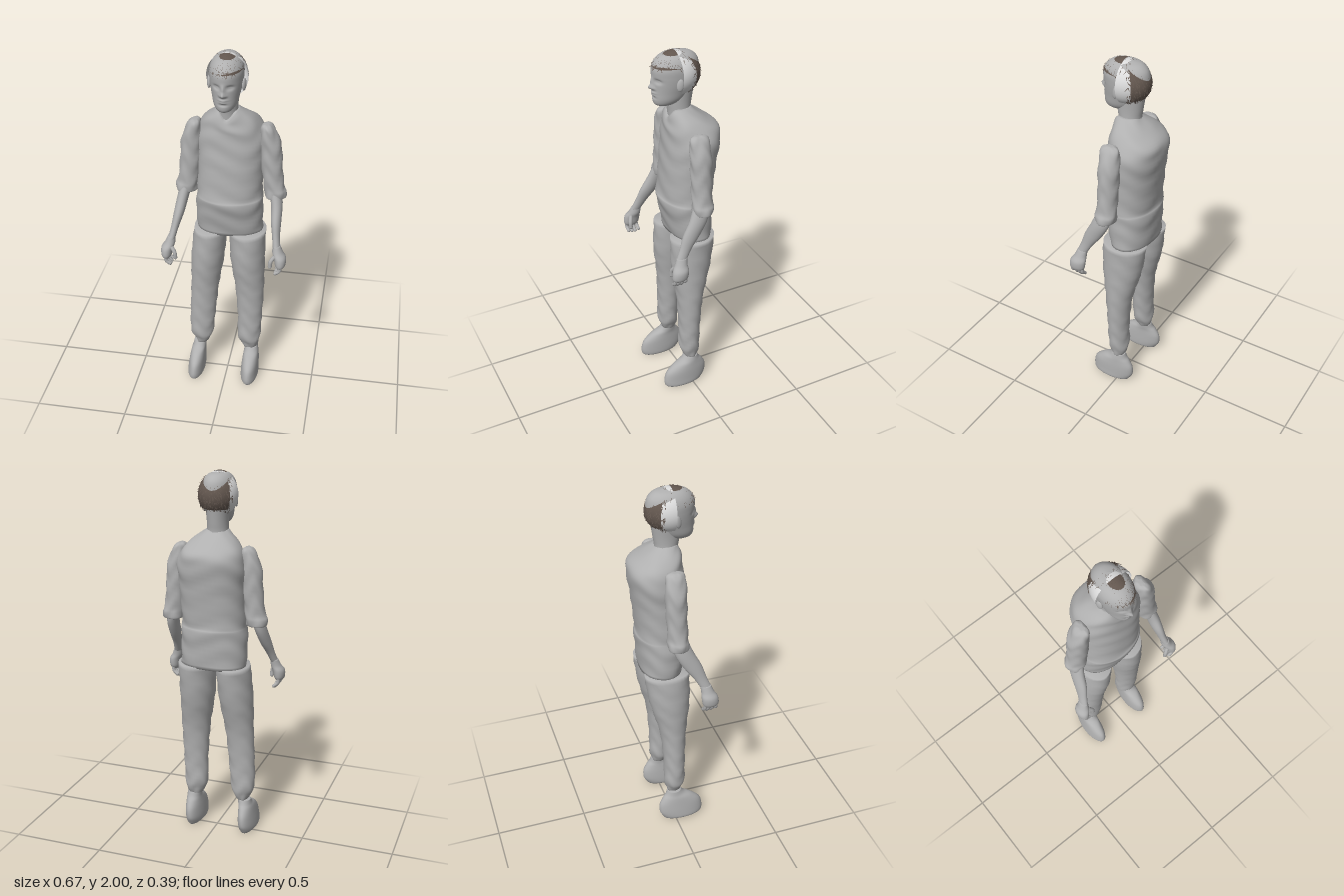
import * as THREE from 'three';

const mat = (name, color, side = THREE.FrontSide) => {
  const m = new THREE.MeshStandardMaterial({ color, side });
  m.name = name;
  return m;
};

// Catmull-Rom blend of table rows, t in 0..1
function sampleRows(rows, t) {
  const f = t * (rows.length - 1), i = Math.min(Math.floor(f), rows.length - 2), u = f - i;
  const at = k => rows[Math.max(0, Math.min(rows.length - 1, k))];
  return rows[i].map((b, k) => {
    const a = at(i - 1)[k], c = at(i + 1)[k], d = at(i + 2)[k];
    return b + 0.5 * u * (c - a + u * (2 * a - 5 * b + 4 * c - d + u * (3 * (b - c) + d - a)));
  });
}

// Body from horizontal sections, bottom to top: [y, xMin, xMax, zBack, zFront]
function loft(rows, { seg = 32, steps = 5, power = 1, shape = null } = {}) {
  const n = (rows.length - 1) * steps, pos = [], idx = [];
  const bend = v => Math.sign(v) * Math.abs(v) ** power;
  for (let j = 0; j <= n; j++) {
    const [y, x0, x1, z0, z1] = sampleRows(rows, j / n);
    for (let i = 0; i < seg; i++) {
      const a = i / seg * Math.PI * 2;
      const p = new THREE.Vector3(
        (x0 + x1) / 2 + bend(Math.sin(a)) * (x1 - x0) / 2, y,
        (z0 + z1) / 2 + bend(Math.cos(a)) * (z1 - z0) / 2);
      if (shape) shape(p, a);
      pos.push(p.x, p.y, p.z);
      if (j < n) {
        const k = j * seg + i, r = j * seg + (i + 1) % seg;
        idx.push(k, r, k + seg, r, r + seg, k + seg);
      }
    }
  }
  // end caps
  for (const j of [0, n]) {
    const [y, x0, x1, z0, z1] = sampleRows(rows, j / n), c = pos.length / 3;
    pos.push((x0 + x1) / 2, y, (z0 + z1) / 2);
    for (let i = 0; i < seg; i++) {
      const a = j * seg + i, b = j * seg + (i + 1) % seg;
      idx.push(c, j ? a : b, j ? b : a);
    }
  }
  const g = new THREE.BufferGeometry();
  g.setAttribute('position', new THREE.Float32BufferAttribute(pos, 3));
  g.setIndex(idx);
  g.computeVertexNormals();
  return g;
}

export function createModel() {
  const grey = mat('body grey', 0xb0b0b0);
  const pale = mat('pale scalp', 0xdcdcdc, THREE.DoubleSide);
  const brown = mat('hair brown', 0x63574f, THREE.DoubleSide);
  const model = new THREE.Group();
  model.name = 'standingMan';
  const add = (name, geo, material = grey, p = [0, 0, 0], s = [1, 1, 1]) => {
    const m = new THREE.Mesh(geo, material);
    m.name = name;
    m.position.set(...p);
    m.scale.set(...s);
    model.add(m);
    return m;
  };
  const wrinkle = (p, a) => {
    const k = 0.0025 * Math.sin(p.y * 55 + 2 * Math.sin(a * 3));
    p.x += Math.sin(a) * k;
    p.z += Math.cos(a) * k;
  };

  // Shirt, with a V dip at the front of the collar
  add('shirt', loft([
    [0.975, -0.17, 0.185, -0.145, 0.075], [1.1, -0.173, 0.185, -0.153, 0.1],
    [1.18, -0.168, 0.185, -0.16, 0.118], [1.22, -0.165, 0.18, -0.155, 0.11],
    [1.4, -0.16, 0.187, -0.172, 0.1], [1.52, -0.165, 0.195, -0.188, 0.09],
    [1.59, -0.148, 0.175, -0.185, 0.087], [1.64, -0.118, 0.138, -0.125, 0.083],
    [1.68, -0.075, 0.09, -0.07, 0.079], [1.7, -0.055, 0.062, -0.047, 0.072],
  ], {
    seg: 48, power: 0.9, shape(p, a) {
      wrinkle(p, a);
      const t = Math.max(0, (p.y - 1.58) / 0.12);
      p.y -= 0.05 * t * Math.max(0, Math.cos(a)) ** 6;
    },
  }));

  // Trousers and shoes, each side with its own stance
  const legDepth = [[0.19, -0.035, 0.04], [0.22, -0.045, 0.05], [0.27, -0.052, 0.063],
    [0.4, -0.052, 0.065], [0.6, -0.07, 0.075], [0.8, -0.12, 0.1], [0.98, -0.145, 0.1]];
  const legWidth = {
    right: [[-0.18, -0.115], [-0.195, -0.1], [-0.214, -0.083], [-0.214, -0.07],
      [-0.206, -0.05], [-0.202, -0.02], [-0.185, -0.008]],
    left: [[0.088, 0.175], [0.075, 0.182], [0.06, 0.19], [0.06, 0.197],
      [0.045, 0.204], [0.015, 0.204], [0.008, 0.204]],
  };
  const shoeDepth = [[0, -0.06, 0.15], [0.015, -0.07, 0.163], [0.05, -0.088, 0.166],
    [0.1, -0.088, 0.152], [0.14, -0.068, 0.108], [0.165, -0.048, 0.062], [0.19, -0.038, 0.04]];
  const shoeWidth = {
    right: [[-0.213, -0.138], [-0.224, -0.128], [-0.222, -0.126], [-0.215, -0.127],
      [-0.208, -0.128], [-0.2, -0.126], [-0.195, -0.124]],
    left: [[0.1, 0.176], [0.089, 0.187], [0.088, 0.187], [0.092, 0.186],
      [0.097, 0.183], [0.1, 0.18], [0.1, 0.175]],
  };
  const join = (d, w) => d.map(([y, b, f], i) => [y, ...w[i], b, f]);
  for (const side of ['right', 'left']) {
    add(side + 'TrouserLeg', loft(join(legDepth, legWidth[side]), { shape: wrinkle }));
    add(side + 'Shoe', loft(join(shoeDepth, shoeWidth[side])));
  }

  // Arms: defined for the right, mirrored to the left with a slight outward shift
  const sleeve = [[1.205, -0.266, -0.172, -0.045, 0.045], [1.21, -0.275, -0.163, -0.054, 0.052],
    [1.24, -0.276, -0.16, -0.058, 0.054], [1.28, -0.262, -0.155, -0.054, 0.05],
    [1.4, -0.25, -0.14, -0.058, 0.05], [1.5, -0.243, -0.135, -0.06, 0.05],
    [1.58, -0.215, -0.135, -0.055, 0.05], [1.61, -0.195, -0.142, -0.045, 0.042],
    [1.62, -0.178, -0.155, -0.02, 0.02]];
  const forearm = [[0.97, -0.301, -0.262, 0.105, 0.163], [1.03, -0.287, -0.245, 0.07, 0.138],
    [1.1, -0.277, -0.222, 0.018, 0.115], [1.18, -0.264, -0.203, -0.025, 0.075],
    [1.27, -0.245, -0.18, -0.04, 0.04]];
  const palm = [[0.862, -0.318, -0.288, 0.125, 0.18], [0.88, -0.333, -0.278, 0.108, 0.194],
    [0.92, -0.334, -0.27, 0.102, 0.19], [0.95, -0.316, -0.26, 0.104, 0.172],
    [0.985, -0.3, -0.261, 0.1, 0.158]];
  const mirror = rows => rows.map(([y, a, b, z0, z1]) => {
    const k = 0.033 * THREE.MathUtils.clamp((y - 0.98) / 0.22, 0, 1);
    return [y, k - b, k - a, z0, z1];
  });
  const digit = (points, r) => new THREE.TubeGeometry(
    new THREE.CatmullRomCurve3(points.map(p => new THREE.Vector3(...p))), 8, r, 8);
  for (const [side, s] of [['right', -1], ['left', 1]]) {
    const rows = r => s < 0 ? r : mirror(r);
    add(side + 'Sleeve', loft(rows(sleeve), { shape: wrinkle }));
    add(side + 'Forearm', loft(rows(forearm), { seg: 24 }));
    add(side + 'Palm', loft(rows(palm), { seg: 24 }));
    const finger = (name, pts, r) => {
      const p = pts.map(([x, y, z]) => [s * x, y, z]);
      add(side + name, digit(p, r));
      add(side + name + 'Tip', new THREE.SphereGeometry(r, 8, 6), grey, p[p.length - 1]);
    };
    for (let i = 0; i < 4; i++) {
      const z = 0.12 + i * 0.02, end = 0.825 + Math.abs(i - 1.3) * 0.006;
      finger('Finger' + (i + 1), [[0.308, 0.885, z], [0.304, 0.852, z], [0.283, end, z - 0.002]], 0.0095);
    }
    finger('Thumb', [[0.276, 0.935, 0.165], [0.257, 0.905, 0.176], [0.254, 0.875, 0.176]], 0.011);
  }

  // Neck and head, the face shaped by soft bumps: [x, y, height, width, tallness]
  add('neck', loft([[1.6, -0.065, 0.065, -0.07, 0.06], [1.68, -0.056, 0.056, -0.055, 0.066],
    [1.74, -0.055, 0.055, -0.062, 0.075], [1.82, -0.06, 0.06, -0.075, 0.07]]));
  const bumps = [[0, 1.828, 0.024, 0.011, 0.013], [0, 1.855, 0.012, 0.009, 0.02],
    [0.033, 1.862, -0.014, 0.016, 0.011], [-0.033, 1.862, -0.014, 0.016, 0.011],
    [0.033, 1.861, 0.006, 0.009, 0.005], [-0.033, 1.861, 0.006, 0.009, 0.005],
    [0, 1.798, 0.009, 0.02, 0.005], [0, 1.787, 0.007, 0.017, 0.005],
    [0, 1.793, -0.005, 0.024, 0.002], [0, 1.772, -0.006, 0.02, 0.006],
    [0.014, 1.823, 0.007, 0.007, 0.007], [-0.014, 1.823, 0.007, 0.007, 0.007]];
  add('head', loft([
    [1.722, -0.025, 0.025, 0.04, 0.12], [1.735, -0.045, 0.045, 0.005, 0.14],
    [1.76, -0.06, 0.06, -0.03, 0.147], [1.8, -0.07, 0.07, -0.06, 0.147],
    [1.84, -0.079, 0.079, -0.085, 0.148], [1.88, -0.084, 0.084, -0.097, 0.15],
    [1.92, -0.084, 0.084, -0.097, 0.15], [1.955, -0.073, 0.073, -0.085, 0.133],
    [1.98, -0.05, 0.05, -0.055, 0.1], [1.99, -0.015, 0.015, -0.01, 0.05],
  ], {
    seg: 72, steps: 9, shape(p) {
      if (p.z < 0.06) return;
      const { x, y } = p;
      for (const [bx, by, h, w, t] of bumps)
        p.z += h * Math.exp(-(((x - bx) / w) ** 2) - ((y - by) / t) ** 2);
    },
  }));
  for (const s of [-1, 1]) {
    const ear = add(s < 0 ? 'rightEar' : 'leftEar', new THREE.SphereGeometry(1, 16, 12), grey,
      [s * 0.087, 1.845, 0.04], [0.009, 0.032, 0.018]);
    ear.rotation.set(-0.15, s * -0.35, 0);
  }

  // Pale half shell over the back of the skull
  const centre = [0.002, 1.878, 0.03];
  add('backScalp', new THREE.SphereGeometry(1, 32, 24, Math.PI, Math.PI, 0, Math.PI * 0.86), pale,
    centre, [0.104, 0.115, 0.129]);

  // Hair: a front patch, a back patch, and short loose strands over both
  add('frontHair', new THREE.SphereGeometry(1, 28, 12, 0, Math.PI, 0, Math.PI * 0.36), brown,
    centre, [0.089, 0.118, 0.131]);
  add('backHair', new THREE.SphereGeometry(1, 28, 20, Math.PI * 1.2, Math.PI * 0.6, Math.PI * 0.22, Math.PI * 0.48),
    brown, centre, [0.106, 0.118, 0.133]);
  let seed = 7;
  const rnd = () => (seed = (seed * 16807) % 2147483647) / 2147483647;
  const strands = (count, phi0, phi1, th0, th1, rx) => {
    const pos = [];
    const on = (phi, th, k) => [centre[0] + rx * k * Math.cos(phi) * Math.sin(th),
      centre[1] + 0.117 * k * Math.cos(th), centre[2] + 0.132 * k * Math.sin(phi) * Math.sin(th)];
    for (let i = 0; i < count; i++) {
      const phi = phi0 + (phi1 - phi0) * rnd(), th = th0 + (th1 - th0) * rnd(), turn = (rnd() - 0.5) * 0.3;
      pos.push(...on(phi - 0.025, th, 1), ...on(phi + 0.025, th, 1),
        ...on(phi + turn, th + 0.1 + 0.12 * rnd(), 1.02 + 0.04 * rnd()));
    }
    const g = new THREE.BufferGeometry();
    g.setAttribute('position', new THREE.Float32BufferAttribute(pos, 3));
    g.computeVertexNormals();
    return g;
  };
  const PI = Math.PI;
  add('frontStrands', strands(260, 0.05, PI - 0.05, 0.1, PI * 0.36, 0.089), brown);
  add('backStrands', strands(320, PI * 1.15, PI * 1.85, PI * 0.2, PI * 0.74, 0.106), brown);
  add('crownStrands', strands(40, PI, PI * 2, 0.05, PI * 0.25, 0.104), brown);
  return model;
}
